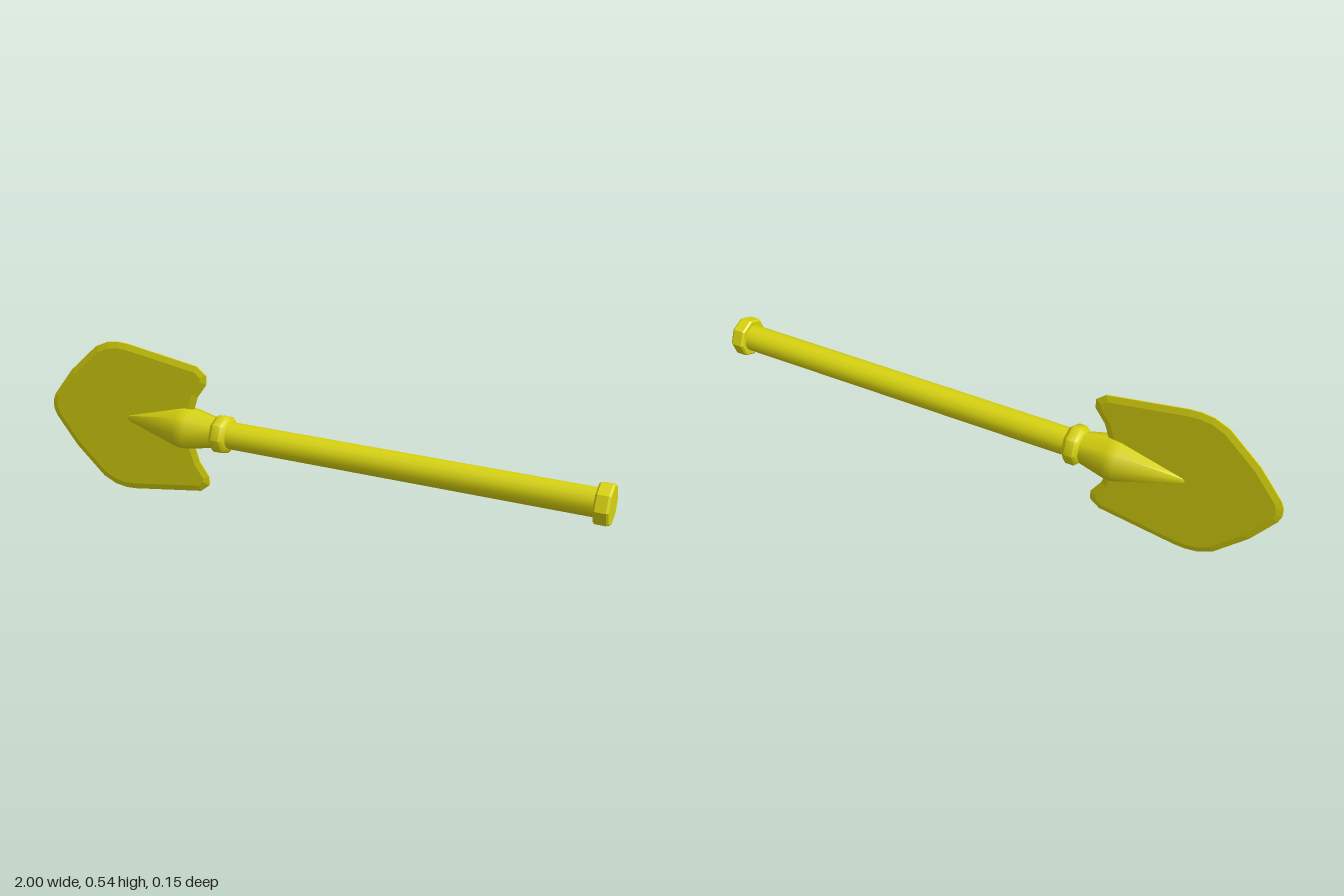
import * as THREE from 'three';
import { toCreasedNormals } from 'three/addons/utils/BufferGeometryUtils.js';

const AXIS_Y = 0.272;

export function createModel() {
  const group = new THREE.Group();
  const yellow = new THREE.MeshStandardMaterial({ color: 0xd9d40f });
  yellow.name = 'yellow';

  const add = (name, geometry) => {
    const mesh = new THREE.Mesh(geometry, yellow);
    mesh.name = name;
    mesh.position.y = AXIS_Y;
    group.add(mesh);
  };

  // Turned part along x; profile is a list of [x, radius] from blade to grip end
  const turned = (name, profile, sides, crease) => {
    const points = profile.map(([x, r]) => new THREE.Vector2(r, x));
    const geometry = new THREE.LatheGeometry(points, sides).rotateZ(-Math.PI / 2);
    add(name, toCreasedNormals(geometry, crease));
  };

  // Blade: half outline mirrored about the handle axis, with a thin bevelled edge
  const half = [
    [-1, 0.015], [-0.99, 0.04], [-0.912, 0.142], [-0.805, 0.243], [-0.757, 0.265],
    [-0.714, 0.271], [-0.677, 0.269], [-0.41, 0.227], [-0.377, 0.2], [-0.377, 0.168],
    [-0.412, 0.118], [-0.43, 0.06],
  ];
  const outline = [...half, ...half.map(([x, y]) => [x, -y]).reverse()];
  const shape = new THREE.Shape(outline.map(([x, y]) => new THREE.Vector2(x, y)));
  const blade = new THREE.ExtrudeGeometry(shape, {
    depth: 0.004, bevelThickness: 0.006, bevelSize: 0.021, bevelOffset: -0.021, bevelSegments: 1,
  });
  add('blade', blade.translate(0, 0, -0.002));

  // Socket gripping the blade
  turned('socket', [
    [-0.694, 0], [-0.692, 0.007], [-0.68, 0.014], [-0.475, 0.073], [-0.455, 0.076],
    [-0.435, 0.074], [-0.345, 0.053], [-0.32, 0.053],
  ], 8, 0.9);

  // Rounded collar between socket and shaft
  turned('collar', [
    [-0.348, 0.045], [-0.345, 0.056], [-0.332, 0.067], [-0.304, 0.067], [-0.291, 0.056], [-0.288, 0.04],
  ], 8, 0.9);

  // Shaft
  turned('shaft', [[-0.31, 0.046], [0.96, 0.046]], 16, 0.9);

  // Faceted end cap
  turned('endCap', [
    [0.949, 0], [0.949, 0.063], [0.955, 0.069], [0.99, 0.069], [0.997, 0.063], [0.997, 0],
  ], 8, 0.3);

  return group;
}
